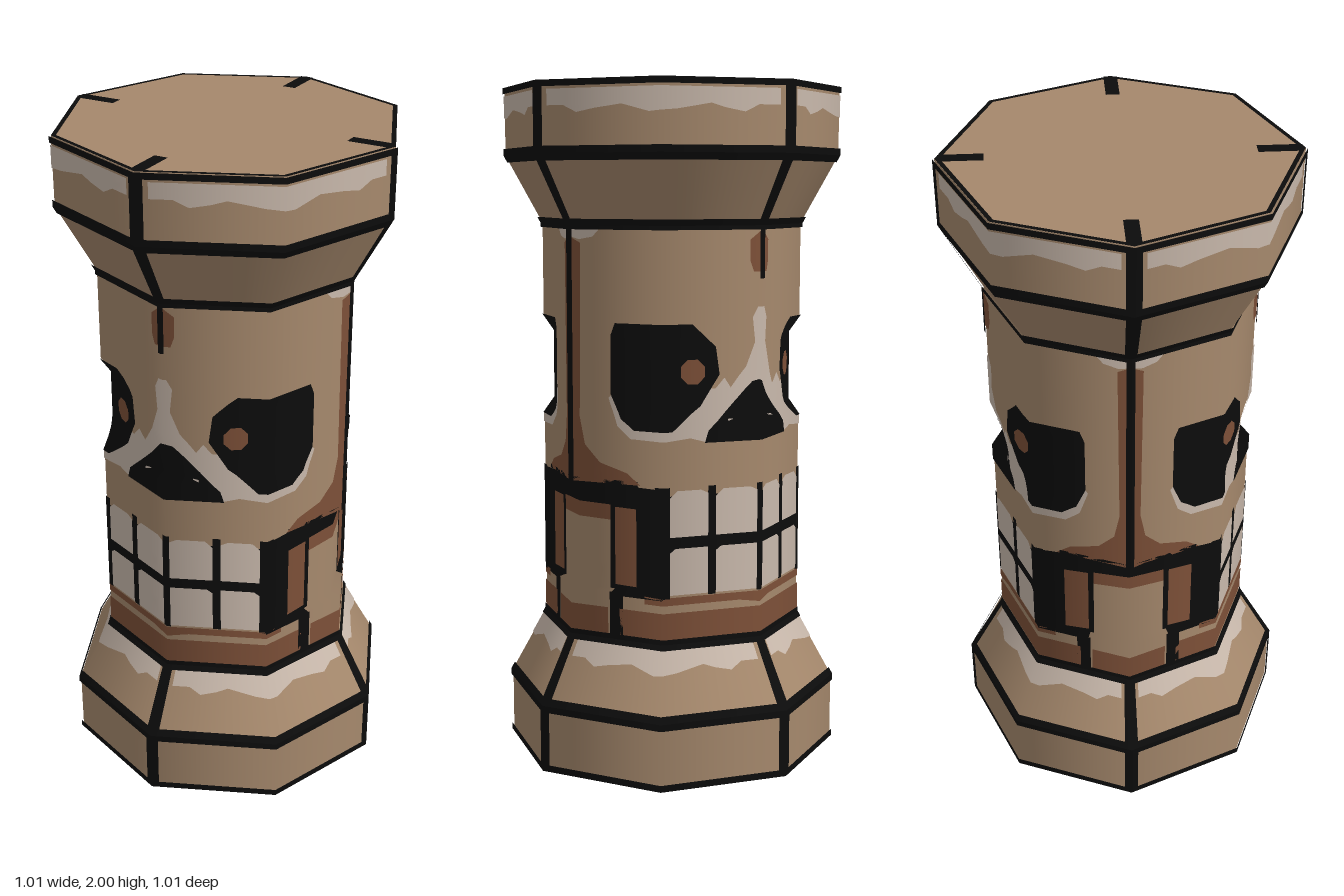
import * as THREE from 'three';

const mat = (name, color) => {
  const m = new THREE.MeshStandardMaterial({ color });
  m.name = name;
  return m;
};

// The pillar is unrolled per quadrant: w = 0 at the front corner,
// C at the diagonal corner, 2C at the side corner; y is height.
const R = 0.39, C = 0.276, W = 2 * C, D = Math.SQRT1_2;
const PROFILE = [[0, 0.5], [0.2, 0.5], [0.4, R], [1.6, R], [1.8, 0.5], [2, 0.5]];
const clamp = (v) => Math.min(1, Math.max(0, v));

function band(y) {
  let i = 0;
  while (i < PROFILE.length - 2 && y > PROFILE[i + 1][0]) i++;
  const [y0, r0] = PROFILE[i], [y1, r1] = PROFILE[i + 1];
  const slope = (r1 - r0) / (y1 - y0);
  return { r: r0 + slope * (y - y0), slope };
}

// Sunken eyes, nose and jaw hinge
function depth(w, y) {
  const eye = 0.035 * clamp(1 - Math.abs(w - C) / 0.155) * clamp(Math.min(y - 1.02, 1.325 - y) / 0.05);
  const nose = 0.05 * clamp(1 - w / 0.13) * clamp(Math.min((1.2 - y) / 0.15, (y - 1.04) / 0.01));
  const jaw = 0.035 * clamp((w - C) / C) * clamp(Math.min(y - 0.54, 0.86 - y) / 0.005);
  return eye + nose + jaw;
}

// Direction on the octagon, interpolated between its corners
function direction(w) {
  const t = w / C;
  return t <= 1 ? [t * D, 1 + t * (D - 1)] : [D + (t - 1) * (1 - D), (2 - t) * D];
}

// Grid lines along which every plate is cut, so all plates follow the surface
function gridLines(max, step, extra) {
  const a = [...extra];
  for (let v = 0; v < max; v += step) a.push(v);
  a.push(max);
  a.sort((p, q) => p - q);
  return a.filter((v, i) => i === 0 || v - a[i - 1] > 1e-4);
}
const WS = gridLines(W, 0.0345, [0.121, 0.13, 0.431]);
const YS = gridLines(2, 0.025, [0.54, 0.545, 0.855, 0.86, 1.02, 1.04, 1.07, 1.325]);

// Keep the part of a convex polygon where sign * (p[axis] - limit) >= 0
function clip(poly, axis, limit, sign) {
  const out = [];
  poly.forEach((a, i) => {
    const b = poly[(i + 1) % poly.length];
    const da = sign * (a[axis] - limit), db = sign * (b[axis] - limit);
    if (da >= 0) out.push(a);
    if (da * db < 0) {
      const k = da / (da - db);
      out.push([a[0] + k * (b[0] - a[0]), a[1] + k * (b[1] - a[1])]);
    }
  });
  return out;
}

// Wrap unrolled polygons round the pillar, mirrored into all four quadrants
function wrap(polys, lift) {
  const pos = [], nor = [];
  const emit = (tri) => {
    const [a, b, c] = tri;
    const area = (b[0] - a[0]) * (c[1] - a[1]) - (c[0] - a[0]) * (b[1] - a[1]);
    if (Math.abs(area) < 1e-9) return;
    const ccw = area > 0 ? tri : [a, c, b];
    const { slope } = band((a[1] + b[1] + c[1]) / 3);
    for (const sx of [1, -1]) for (const sz of [1, -1]) {
      for (const [w, y] of sx * sz > 0 ? ccw : [...ccw].reverse()) {
        const [dx, dz] = direction(w);
        const r = band(y).r - depth(w, y) + lift;
        pos.push(sx * dx * r, y, sz * dz * r);
        const n = new THREE.Vector3(sx * dx, 0, sz * dz).normalize().setY(-slope).normalize();
        nor.push(n.x, n.y, n.z);
      }
    }
  };
  for (const pts of polys) {
    const contour = pts.map(([x, y]) => new THREE.Vector2(x, y));
    for (const face of THREE.ShapeUtils.triangulateShape(contour, [])) {
      const tri = face.map((i) => pts[i]);
      for (let i = 0; i < WS.length - 1; i++) {
        const strip = clip(clip(tri, 0, WS[i], 1), 0, WS[i + 1], -1);
        if (strip.length < 3) continue;
        for (let j = 0; j < YS.length - 1; j++) {
          const cell = clip(clip(strip, 1, YS[j], 1), 1, YS[j + 1], -1);
          for (let k = 1; k < cell.length - 1; k++) emit([cell[0], cell[k], cell[k + 1]]);
        }
      }
    }
  }
  const g = new THREE.BufferGeometry();
  g.setAttribute('position', new THREE.Float32BufferAttribute(pos, 3));
  g.setAttribute('normal', new THREE.Float32BufferAttribute(nor, 3));
  return g;
}

const rect = (w0, w1, y0, y1) => [[w0, y0], [w1, y0], [w1, y1], [w0, y1]];

// Worn highlight: straight top edge, wavy lower edge
const wavy = (top, low) => [[0.025, top], [0.025, low + 0.01], [0.07, low + 0.01], [0.1, low - 0.01],
  [0.14, low], [0.17, low + 0.012], [0.24, low - 0.005], [0.3, low - 0.012], [0.36, low + 0.01],
  [0.42, low], [0.46, low - 0.01], [0.49, low + 0.01], [0.527, low + 0.01], [0.527, top]];

export function createModel() {
  const model = new THREE.Group();
  const tan = mat('tan stone', 0xa5886c);
  const pale = mat('pale bone', 0xc8b8ab);
  const brown = mat('brown shade', 0x7d5038);
  const black = mat('black line', 0x0c0c0c);
  const add = (name, geometry, material) => {
    const m = new THREE.Mesh(geometry, material);
    m.name = name;
    model.add(m);
    return m;
  };
  const paint = (name, material, layer, ...polys) =>
    add(name, wrap(polys, layer ? 0.0015 + layer * 0.0015 : 0), material);

  paint('pillar', tan, 0, rect(0, W, 0, 2));

  // Collar highlights
  paint('collarHighlights', pale, 1, wavy(1.975, 1.92), wavy(0.385, 0.33),
    [[0.46, 1.59], [0.48, 1.568], [0.52, 1.56], [W, 1.57], [W, 1.59]]);

  // Brown shading on brow, cheeks and chin
  paint('shading', brown, 1,
    [[0, 1.47], [0.025, 1.47], [0.035, 1.5], [0.035, 1.56], [0, 1.59]],
    [[W, 0.86], [W, 1.57], [W - 0.035, 1.55], [W - 0.03, 1.05], [W - 0.045, 0.97],
      [W - 0.09, 0.92], [W - 0.17, 0.895], [W - 0.21, 0.862]],
    rect(0, 0.405, 0.41, 0.492), rect(0.44, W, 0.41, 0.492),
    [[0, 0.505], [0.06, 0.515], [0.33, 0.515], [0.33, 0.538], [0, 0.538]]);

  // Pale bone round nose and eye sockets
  paint('faceBone', pale, 1,
    [[0, 1.37], [0, 1.1], [0.15, 0.985], [0.2, 1.0], [0.27, 0.992], [0.37, 0.995], [0.41, 1.03],
      [0.435, 1.11], [0.41, 1.14], [0.13, 1.14], [0.105, 1.17], [0.085, 1.14], [0.045, 1.2],
      [0.02, 1.27], [0.027, 1.34], [0.012, 1.37]]);
  paint('eyeSockets', black, 2,
    [[0.195, 1.325], [0.415, 1.325], [0.428, 1.29], [0.428, 1.12], [0.4, 1.05], [0.36, 1.02],
      [0.25, 1.02], [0.17, 1.09], [0.12, 1.18], [0.13, 1.26]]);
  paint('noseHole', black, 2,
    [[0, 1.16], [0.02, 1.155], [0.06, 1.11], [0.15, 1.02], [0.16, 0.985], [0, 0.985]]);
  const pupil = [];
  for (let i = 0; i < 8; i++) {
    const a = (i + 0.5) * Math.PI / 4;
    pupil.push([0.192 + 0.036 * Math.cos(a), 1.188 + 0.038 * Math.sin(a)]);
  }
  paint('pupils', brown, 3, pupil);

  // Teeth with dark gaps
  const teeth = [];
  for (const [a, b] of [[0.011, 0.128], [0.15, 0.256]]) {
    teeth.push([[a, 0.715], [b, 0.715], [b, 0.83], [b - 0.02, 0.85], [a + 0.02, 0.85], [a, 0.84]],
      [[a, 0.545], [b, 0.545], [b, 0.67], [b - 0.015, 0.682], [a, 0.682]]);
  }
  paint('teethGaps', black, 1, rect(0, C, 0.55, 0.835), rect(0, 0.011, 0.54, 0.86),
    rect(0.128, 0.15, 0.54, 0.86), rect(0.256, 0.3, 0.535, 0.86));
  paint('teeth', pale, 2, ...teeth);

  // Jaw hinge on the sides
  paint('jawFrame', black, 1, rect(0.276, W, 0.546, 0.854), rect(0.276, 0.43, 0.53, 0.546),
    rect(0.395, 0.435, 0.41, 0.54), rect(0.35, W, 0.854, 0.872));
  paint('jawPanels', brown, 2, rect(0.357, 0.426, 0.56, 0.79), rect(0.442, W, 0.75, 0.795));
  paint('jawHinge', tan, 2, rect(0.442, W, 0.546, 0.75));

  // Carved seams
  const rings = [[0, 0.02], [0.18, 0.22], [0.385, 0.415], [1.588, 1.618], [1.78, 1.82], [1.982, 2]];
  paint('ringSeams', black, 3, ...rings.map(([a, b]) => rect(0, W, a, b)));
  paint('uprightSeams', black, 3, rect(0, 0.016, 0, 0.4), rect(0, 0.016, 1.6, 2),
    rect(0, 0.009, 1.45, 1.6), rect(W - 0.016, W, 0, 0.4), rect(W - 0.016, W, 1.6, 2),
    rect(W - 0.012, W, 0.86, 1.6));

  // Top and bottom caps with rim and short seams
  for (const [name, y, s] of [['top', 2, 1], ['bottom', 0, -1]]) {
    const flat = (part, geometry, material, lift) => {
      const m = add(name + part, geometry, material);
      m.rotation.x = -s * Math.PI / 2;
      m.position.y = y + s * lift;
      return m;
    };
    flat('Cap', new THREE.CircleGeometry(0.5, 8), tan, 0);
    flat('Rim', new THREE.RingGeometry(0.486, 0.5, 8, 1), black, 0.001);
    const length = s > 0 ? 0.125 : 0.09;
    for (let i = 0; i < 4; i++) {
      const g = new THREE.PlaneGeometry(length, 0.04).translate(0.493 - length / 2, 0, 0);
      flat('Seam', g.rotateZ(i * Math.PI / 2), black, 0.002);
    }
  }
  return model;
}
